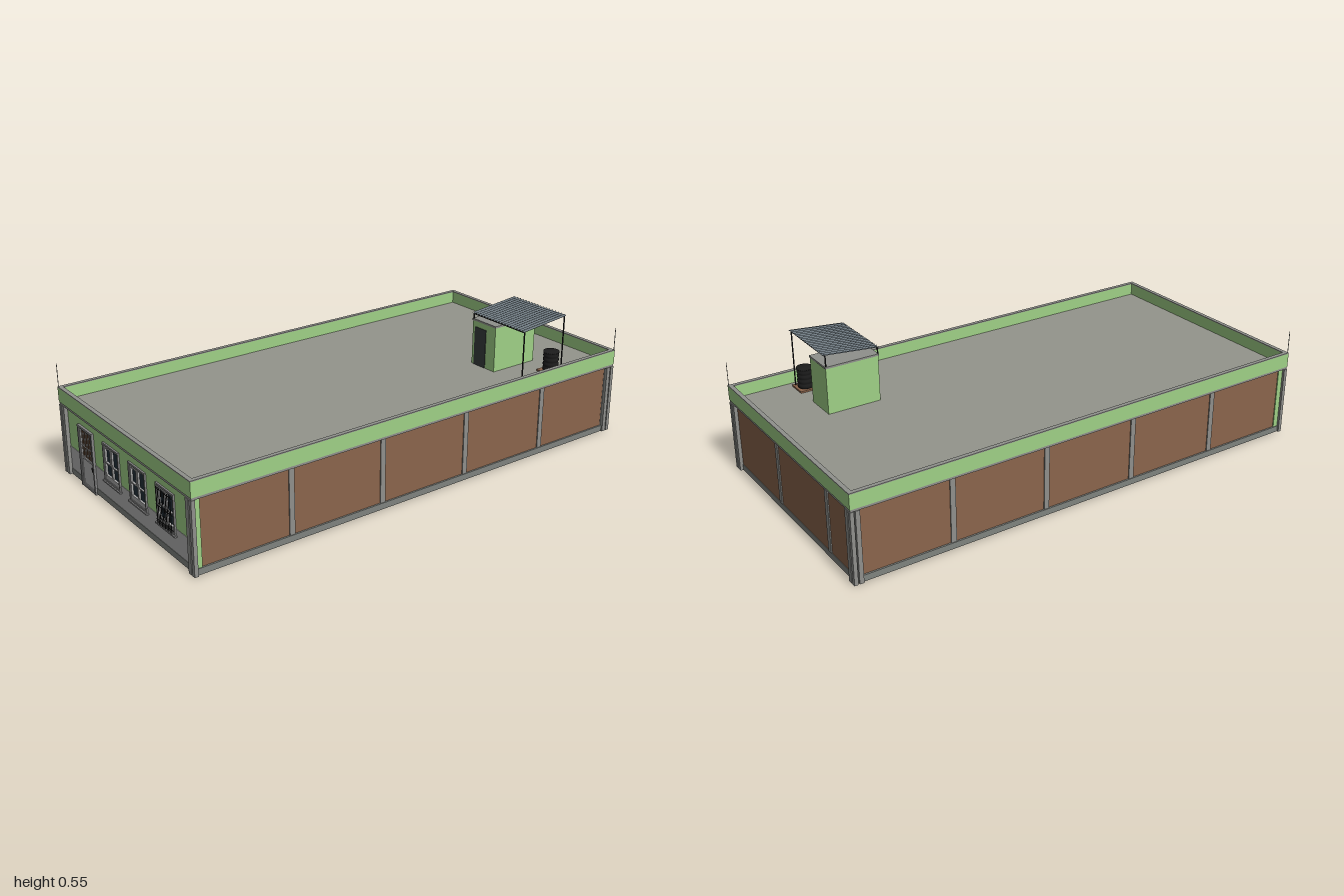
import * as THREE from 'three';

const mat = (color, side = THREE.FrontSide) => new THREE.MeshStandardMaterial({ color, side });
const M = {
  green: mat(0x9fd186), brick: mat(0x8b654c), concrete: mat(0x8f908c), roof: mat(0x94958c),
  dado: mat(0xb2b2b2), plinth: mat(0x7f837f), frame: mat(0xa9a9a9), trim: mat(0x858585),
  glass: mat(0x22303a), wood: mat(0x7a5638), iron: mat(0x1c1c1c), dark: mat(0x383d3d),
  sheet: mat(0x6b767d, THREE.DoubleSide), ceiling: mat(0x7c7c78),
};

function add(parent, name, geometry, material) {
  const mesh = new THREE.Mesh(geometry, material);
  mesh.name = name;
  parent.add(mesh);
  return mesh;
}

// Box given by its limits on each axis
function box(parent, name, material, x0, x1, y0, y1, z0, z1) {
  const mesh = add(parent, name, new THREE.BoxGeometry(x1 - x0, y1 - y0, z1 - z0), material);
  mesh.position.set((x0 + x1) / 2, (y0 + y1) / 2, (z0 + z1) / 2);
  return mesh;
}

function rectPath(path, x0, x1, y0, y1) {
  path.moveTo(x0, y0).lineTo(x1, y0).lineTo(x1, y1).lineTo(x0, y1).closePath();
  return path;
}

// Horizontal rectangular band running around the whole building
function ring(parent, name, material, hx, hz, t, y0, y1) {
  const shape = rectPath(new THREE.Shape(), -hx, hx, -hz, hz);
  shape.holes.push(rectPath(new THREE.Path(), -hx + t, hx - t, -hz + t, hz - t));
  const geo = new THREE.ExtrudeGeometry(shape, { depth: y1 - y0, bevelEnabled: false });
  geo.rotateX(-Math.PI / 2).translate(0, y0, 0);
  return add(parent, name, geo, material);
}

// Upright rectangular surround in the xy plane
function surround(parent, name, material, x0, x1, y0, y1, t, z0, z1) {
  const shape = rectPath(new THREE.Shape(), x0, x1, y0, y1);
  shape.holes.push(rectPath(new THREE.Path(), x0 + t, x1 - t, y0 + t, y1 - t));
  const geo = new THREE.ExtrudeGeometry(shape, { depth: z1 - z0, bevelEnabled: false });
  return add(parent, name, geo.translate(0, 0, z0), material);
}

const WINDOWS = [-0.1, 0.1, 0.3];

function buildShell(root) {
  const g = new THREE.Group();
  g.name = 'shell';
  root.add(g);
  ring(g, 'groundBeam', M.plinth, 0.493, 0.988, 0.028, 0.005, 0.03);
  ring(g, 'ringBeam', M.concrete, 0.498, 0.998, 0.035, 0.29, 0.301);
  ring(g, 'parapet', M.green, 0.5, 1, 0.015, 0.3, 0.358);
  ring(g, 'parapetCap', M.concrete, 0.5, 1, 0.017, 0.358, 0.362);
  box(g, 'ceiling', M.ceiling, -0.486, 0.486, 0.288, 0.293, -0.986, 0.986);
  box(g, 'roofSlab', M.roof, -0.486, 0.486, 0.293, 0.308, -0.986, 0.986);

  // Brick walls with concrete columns
  for (const s of [-1, 1]) {
    const sideBox = (name, m, a, b, y0, y1, z0, z1) =>
      box(g, name, m, Math.min(s * a, s * b), Math.max(s * a, s * b), y0, y1, z0, z1);
    sideBox('sideWall', M.brick, 0.468, 0.486, 0.03, 0.29, -0.97, 0.965);
    for (const z of [-0.6, -0.2, 0.2, 0.6])
      sideBox('sideColumn', M.concrete, 0.465, 0.49, 0.03, 0.29, z - 0.011, z + 0.011);
    // Stepped corner columns
    sideBox('frontColumn', M.concrete, 0.46, 0.48, 0.005, 0.29, 0.975, 1);
    sideBox('frontCornerColumn', M.concrete, 0.485, 0.5, 0.005, 0.29, 0.985, 1);
    sideBox('backColumn', M.concrete, 0.46, 0.48, 0.005, 0.29, -1, -0.96);
    sideBox('backCornerCore', M.concrete, 0.46, 0.487, 0.005, 0.29, -0.987, -0.96);
    sideBox('backSideColumn', M.concrete, 0.485, 0.5, 0.005, 0.29, -0.98, -0.963);
    sideBox('backCornerColumn', M.concrete, 0.485, 0.5, 0.005, 0.29, -1, -0.985);
  }
  box(g, 'backWall', M.brick, -0.47, 0.47, 0.03, 0.29, -0.986, -0.968);
  for (const x of [-0.3, 0.1])
    box(g, 'backColumn', M.concrete, x - 0.011, x + 0.011, 0.03, 0.29, -0.99, -0.965);

  // Front wall with a door notch and window openings
  const wall = new THREE.Shape();
  [[-0.49, 0.005], [-0.355, 0.005], [-0.355, 0.245], [-0.253, 0.245], [-0.253, 0.005],
    [0.49, 0.005], [0.49, 0.29], [-0.49, 0.29]].forEach(([x, y], i) => i ? wall.lineTo(x, y) : wall.moveTo(x, y));
  for (const x of WINDOWS) wall.holes.push(rectPath(new THREE.Path(), x - 0.055, x + 0.055, 0.106, 0.246));
  const wallGeo = new THREE.ExtrudeGeometry(wall, { depth: 0.022, bevelEnabled: false });
  add(g, 'frontWall', wallGeo.translate(0, 0, 0.963), M.green);
  for (const [a, b] of [[-0.46, -0.355], [-0.253, 0.46]])
    box(g, 'frontDado', M.dado, a, b, 0.03, 0.125, 0.9845, 0.9865);

  // Lightning rods on two opposite corners
  for (const s of [-1, 1]) box(g, 'rod', M.concrete, s * 0.497 - 0.001, s * 0.497 + 0.001, 0.36, 0.456, -s * 0.997 - 0.001, -s * 0.997 + 0.001);
}

function buildDoor(root) {
  const g = new THREE.Group();
  g.name = 'door';
  root.add(g);
  const x0 = -0.364, x1 = -0.244;
  box(g, 'doorJamb', M.trim, x0, x0 + 0.009, 0, 0.253, 0.965, 0.995);
  box(g, 'doorJamb', M.trim, x1 - 0.009, x1, 0, 0.253, 0.965, 0.995);
  box(g, 'doorHead', M.trim, x0, x1, 0.244, 0.253, 0.965, 0.995);
  box(g, 'threshold', M.trim, x0 + 0.004, x1 - 0.004, 0, 0.006, 0.965, 0.994);
  box(g, 'doorLeaf', M.wood, -0.355, -0.253, 0.006, 0.244, 0.972, 0.986);
  box(g, 'lowerPanel', M.dado, -0.355, -0.253, 0.006, 0.125, 0.984, 0.989);
  surround(g, 'lowerMoulding', M.frame, -0.355, -0.253, 0.006, 0.125, 0.007, 0.988, 0.991);
  surround(g, 'upperFrame', M.frame, -0.355, -0.253, 0.12, 0.244, 0.006, 0.984, 0.991);
  for (let i = 1; i < 7; i++) {
    const x = -0.352 + i * 0.0137;
    box(g, 'doorBar', M.frame, x - 0.0008, x + 0.0008, 0.124, 0.24, 0.987, 0.989);
  }
  box(g, 'doorCrossBar', M.frame, -0.352, -0.256, 0.17, 0.172, 0.987, 0.9895);
  box(g, 'handle', M.iron, -0.265, -0.261, 0.09, 0.107, 0.989, 0.994);
}

function buildWindow(root, cx, barred) {
  const g = new THREE.Group();
  g.name = 'window';
  g.position.x = cx;
  root.add(g);
  surround(g, 'windowTrim', M.trim, -0.062, 0.062, 0.1, 0.253, 0.007, 0.983, 0.992);
  surround(g, 'windowFrame', M.frame, -0.056, 0.056, 0.105, 0.247, 0.007, 0.972, 0.989);
  box(g, 'bottomRail', M.frame, -0.055, 0.055, 0.105, 0.125, 0.972, 0.989);
  box(g, 'mullion', M.frame, -0.005, 0.005, 0.125, 0.243, 0.974, 0.988);
  box(g, 'transom', M.frame, -0.05, 0.05, 0.17, 0.174, 0.975, 0.987);
  box(g, 'glass', M.glass, -0.055, 0.055, 0.106, 0.246, 0.975, 0.981);
  surround(g, 'sash', M.frame, -0.05, -0.003, 0.174, 0.24, 0.005, 0.982, 0.99);
  box(g, 'sill', M.trim, -0.068, 0.068, 0.094, 0.1, 0.975, 0.997);
  if (!barred) return;
  // Iron grille
  for (let i = 0; i < 10; i++) {
    const x = -0.048 + i * 0.0107;
    box(g, 'grilleBar', M.iron, x - 0.001, x + 0.001, 0.1, 0.244, 0.995, 0.997);
  }
  for (const y of [0.115, 0.172, 0.236])
    box(g, 'grilleRail', M.iron, -0.058, 0.058, y - 0.001, y + 0.001, 0.994, 0.996);
}

function buildRoofStructures(root) {
  const g = new THREE.Group();
  g.name = 'roofStructures';
  root.add(g);
  box(g, 'stairHouse', M.green, 0.153, 0.285, 0.306, 0.494, -0.747, -0.527);
  box(g, 'stairHouseCap', M.concrete, 0.151, 0.287, 0.494, 0.502, -0.749, -0.525);
  box(g, 'stairHouseDoor', M.dark, 0.167, 0.232, 0.308, 0.47, -0.53, -0.5245);

  // Corrugated canopy, rising toward the back
  const canopyY = z => 0.527 + (-0.522 - z) / 0.23 * 0.022;
  const geo = new THREE.PlaneGeometry(0.298, 0.23, 144, 1).rotateX(-Math.PI / 2);
  geo.translate(0.302, 0, -0.637);
  const p = geo.attributes.position;
  for (let i = 0; i < p.count; i++)
    p.setY(i, canopyY(p.getZ(i)) + 0.003 * Math.sin((p.getX(i) - 0.153) / 0.298 * Math.PI * 36));
  geo.computeVertexNormals();
  add(g, 'canopySheet', geo, M.sheet);
  for (const z of [-0.527, -0.744]) {
    const y = canopyY(z) - 0.003;
    box(g, 'canopyRail', M.iron, 0.155, 0.448, y - 0.004, y, z - 0.002, z + 0.002);
    box(g, 'longPost', M.iron, 0.444, 0.448, 0.306, y, z - 0.002, z + 0.002);
    box(g, 'shortPost', M.iron, 0.155, 0.159, 0.5, y, z - 0.002, z + 0.002);
  }

  // Ribbed water tank on a brick base
  box(g, 'tankBase', M.brick, 0.377, 0.457, 0.306, 0.315, -0.754, -0.676);
  const profile = [[0, 0.315], [0.03, 0.315]];
  for (let i = 0; i < 4; i++) {
    const y = 0.317 + i * 0.019;
    profile.push([0.029, y], [0.0315, y + 0.004], [0.0315, y + 0.011], [0.029, y + 0.015]);
  }
  profile.push([0.032, 0.391], [0.032, 0.397], [0, 0.399]);
  const tank = new THREE.LatheGeometry(profile.map(([r, y]) => new THREE.Vector2(r, y)), 24);
  add(g, 'waterTank', tank, M.iron).position.set(0.416, 0, -0.715);
}

export function createModel() {
  const root = new THREE.Group();
  root.name = 'building';
  buildShell(root);
  buildDoor(root);
  WINDOWS.forEach((x, i) => buildWindow(root, x, i === 2));
  buildRoofStructures(root);
  return root;
}
